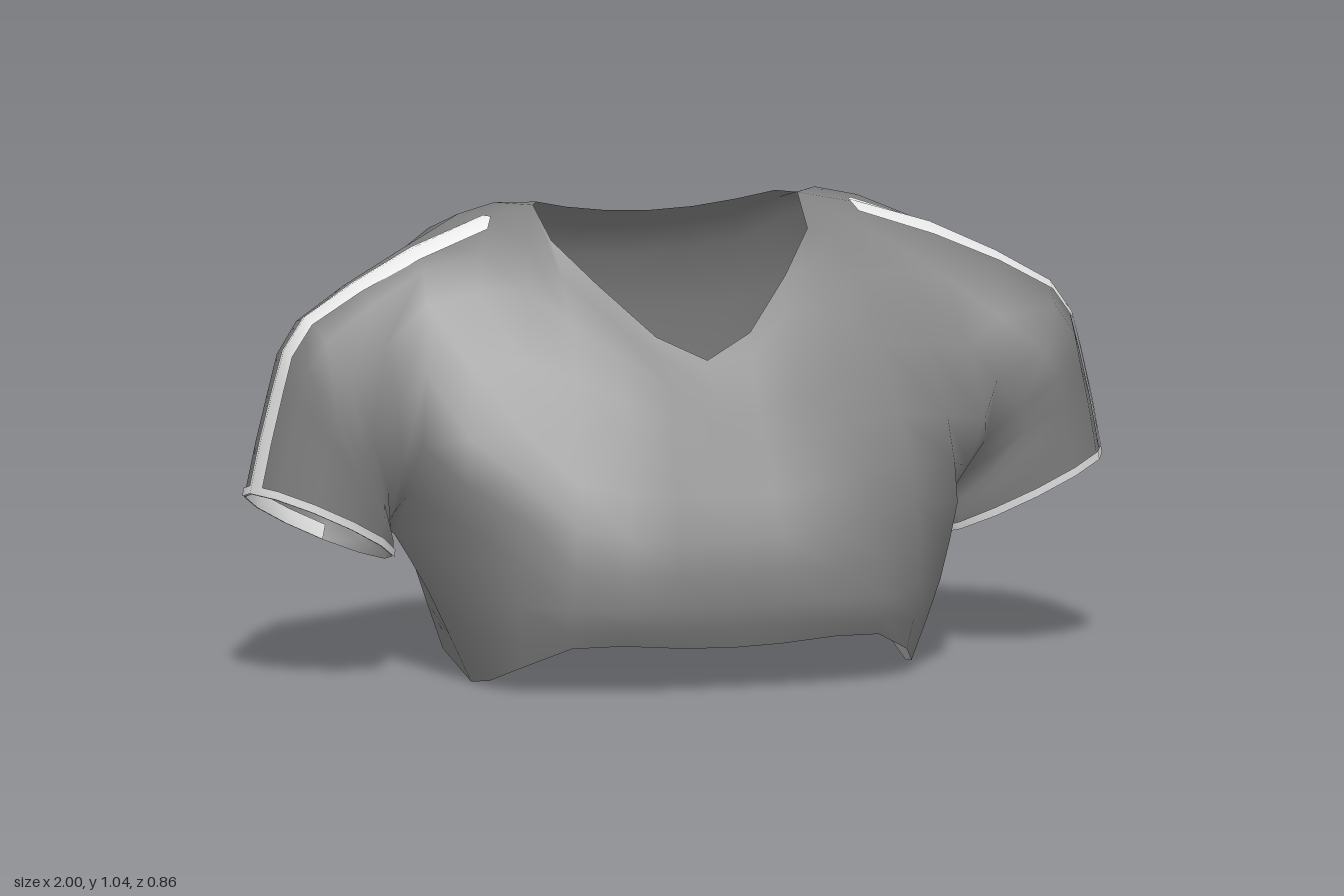
import * as THREE from 'three';
import { mergeVertices } from 'three/addons/utils/BufferGeometryUtils.js';

const V = (p) => new THREE.Vector3(...p);

// Half-panel control rows: centre line -> shoulder / armhole / side seam
const SHOULDER = [[0.31, 1.045, -0.1], [0.42, 1.025, -0.065], [0.6, 0.97, -0.04]];
const ARMPIT = [0.64, 0.315, -0.08], SEAM = [0.59, 0.2, 0.01], SEAM_END = [0.51, 0, 0.08];
const FRONT = [
  [[0, 0.727, 0.223], [0.11, 0.78, 0.19], [0.22, 0.89, 0.1], [0.3, 0.98, 0.01], ...SHOULDER],
  [[0, 0.65, 0.265], [0.1, 0.68, 0.255], [0.2, 0.74, 0.22], [0.3, 0.82, 0.155], [0.39, 0.88, 0.1], [0.5, 0.88, 0.08], [0.61, 0.86, 0.07]],
  [[0, 0.52, 0.33], [0.11, 0.53, 0.325], [0.21, 0.55, 0.315], [0.32, 0.58, 0.285], [0.44, 0.59, 0.26], [0.56, 0.575, 0.235], [0.66, 0.56, 0.195]],
  [[0, 0.35, 0.405], [0.12, 0.35, 0.41], [0.24, 0.36, 0.405], [0.35, 0.38, 0.37], [0.46, 0.4, 0.32], [0.58, 0.38, 0.245], ARMPIT],
  [[0, 0.2, 0.425], [0.12, 0.2, 0.43], [0.25, 0.2, 0.425], [0.37, 0.2, 0.39], [0.47, 0.205, 0.31], [0.555, 0.2, 0.195], SEAM],
  [[0, 0.1, 0.39], [0.12, 0.105, 0.395], [0.25, 0.115, 0.39], [0.36, 0.11, 0.36], [0.45, 0.06, 0.28], [0.495, 0.015, 0.17], SEAM_END],
];
const BACK = [
  [[0, 1.0, -0.22], [0.1, 1.005, -0.215], [0.2, 1.02, -0.2], [0.28, 1.04, -0.17], ...SHOULDER],
  [[0, 0.88, -0.35], [0.12, 0.885, -0.355], [0.24, 0.9, -0.355], [0.34, 0.95, -0.31], [0.43, 0.995, -0.26], [0.51, 0.98, -0.245], [0.63, 0.91, -0.2]],
  [[0, 0.6, -0.4], [0.12, 0.6, -0.41], [0.25, 0.6, -0.42], [0.36, 0.6, -0.415], [0.46, 0.6, -0.395], [0.56, 0.6, -0.37], [0.66, 0.62, -0.335]],
  [[0, 0.42, -0.41], [0.12, 0.42, -0.415], [0.25, 0.42, -0.43], [0.36, 0.42, -0.42], [0.47, 0.41, -0.375], [0.575, 0.38, -0.28], ARMPIT],
  [[0, 0.34, -0.41], [0.12, 0.34, -0.42], [0.25, 0.34, -0.43], [0.37, 0.32, -0.41], [0.47, 0.29, -0.34], [0.56, 0.24, -0.21], SEAM],
  [[0, 0.25, -0.41], [0.12, 0.25, -0.415], [0.24, 0.25, -0.42], [0.36, 0.2, -0.36], [0.46, 0.125, -0.25], [0.515, 0.045, -0.12], SEAM_END],
];

// Smooth each column of a control grid; returns rows of points
function smoothRows(rows, steps) {
  const columns = rows[0].map((_, j) =>
    new THREE.CatmullRomCurve3(rows.map((r) => r[j]), false, 'catmullrom', 0.5).getPoints(steps));
  return columns[0].map((_, i) => columns.map((c) => c[i]));
}

// Upper part (to the armpit) and lower part (to the hem) share the armpit row
function panel(rows) {
  const pts = rows.map((r) => r.map(V));
  return [...smoothRows(pts.slice(0, 4), 6), ...smoothRows(pts.slice(3), 4).slice(1)];
}

// Elliptical sleeve ring starting at its top and turning over the front
function ring(centre, up, front, n) {
  return Array.from({ length: n + 1 }, (_, i) => {
    const a = (i % n) / n * Math.PI * 2;
    return V(centre).addScaledVector(V(up), Math.cos(a)).addScaledVector(V(front), Math.sin(a));
  });
}

// Point a given distance from p toward q
const toward = (p, q, d) => p.clone().lerp(q, Math.min(1, d / p.distanceTo(q)));

// Point moved slightly away from a centre (or nearer, if d < 0), to lie just off the cloth
const lifted = (p, centre, d = 0.005) => p.clone().addScaledVector(p.clone().sub(centre).normalize(), d);

// Weld grids into one smooth surface; each entry is { rows, flip, side }
function surface(grids) {
  const pos = [];
  for (const { rows, flip, side } of grids) {
    for (let i = 0; i < rows.length - 1; i++) {
      for (let j = 0; j < rows[0].length - 1; j++) {
        const q = [rows[i][j], rows[i + 1][j], rows[i + 1][j + 1], rows[i][j + 1]];
        if (flip !== (side < 0)) q.reverse();
        for (const k of [0, 1, 2, 0, 2, 3]) pos.push(q[k].x * side, q[k].y, q[k].z);
      }
    }
  }
  const g = new THREE.BufferGeometry();
  g.setAttribute('position', new THREE.Float32BufferAttribute(pos, 3));
  const welded = mergeVertices(g, 1e-4);
  welded.computeVertexNormals();
  return welded;
}

export function createModel() {
  const group = new THREE.Group();
  const cloth = new THREE.MeshStandardMaterial({ name: 'grey cloth', color: 0x808080, side: THREE.DoubleSide });
  const trim = new THREE.MeshStandardMaterial({ name: 'light trim', color: 0xe6e6e6 });
  const add = (name, geometry, material) => {
    const mesh = new THREE.Mesh(geometry, material);
    mesh.name = name;
    group.add(mesh);
  };

  const front = panel(FRONT), back = panel(BACK);

  // Sleeve runs from the armhole loop to the slanted cuff
  const edge = front[0].length - 1;
  const armhole = [
    ...front.slice(0, 7).map((r) => r[edge]),
    ...back.slice(0, 6).reverse().map((r) => r[edge]),
  ];
  const cuffCentre = [0.825, 0.345, -0.062];
  const sleeve = smoothRows([
    armhole,
    ring([0.758, 0.58, -0.09], [0.112, 0.25, 0.085], [0, -0.01, 0.235], 12),
    ring([0.795, 0.48, -0.065], [0.147, 0.195, 0.06], [-0.01, 0, 0.205], 12),
    ring(cuffCentre, [0.17, 0.088, 0.045], [-0.02, 0.02, 0.187], 12),
  ], 6);

  // Shirt body with both sleeves, one continuous cloth
  add('shirtBody', surface([1, -1].flatMap((side) => [
    { rows: front, flip: false, side },
    { rows: back, flip: true, side },
    { rows: sleeve, flip: true, side },
  ])), cloth);

  // Narrow band around the outside of the cuff, and a facing inside its back
  const cuffEdge = sleeve[6];
  const cuffTop = cuffEdge.map((p, j) => toward(p, sleeve[5][j], 0.019));
  const facingTop = cuffEdge.map((p, j) => toward(p, sleeve[5][j], 0.035));
  const band = [cuffTop, cuffEdge].map((r) => r.map((p) => lifted(p, V(cuffCentre))));
  const facing = [facingTop, cuffEdge].map((r) => r.slice(8).map((p) => lifted(p, V(cuffCentre), -0.005)));

  // Stripe along the shoulder ridge, from beside the neck to the cuff
  const heart = V([0.5, 0.5, -0.06]);
  const stations = [
    [front[1][edge - 1], front[0][edge - 1], back[1][edge - 1]],
    ...[...sleeve.slice(0, 6), cuffTop].map((r) => [r[1], r[0], r[11]]),
  ];
  const stripe = stations.map(([f, p, b]) =>
    [toward(p, f, 0.04), p, toward(p, b, 0.026)].map((v) => lifted(v, heart)));

  for (const [label, side] of [['left', 1], ['right', -1]]) {
    add(label + 'CuffTrim', surface([{ rows: band, flip: true, side }]), trim);
    add(label + 'CuffFacing', surface([{ rows: facing, flip: false, side }]), trim);
    add(label + 'ShoulderStripe', surface([{ rows: stripe, flip: false, side }]), trim);
  }
  return group;
}
